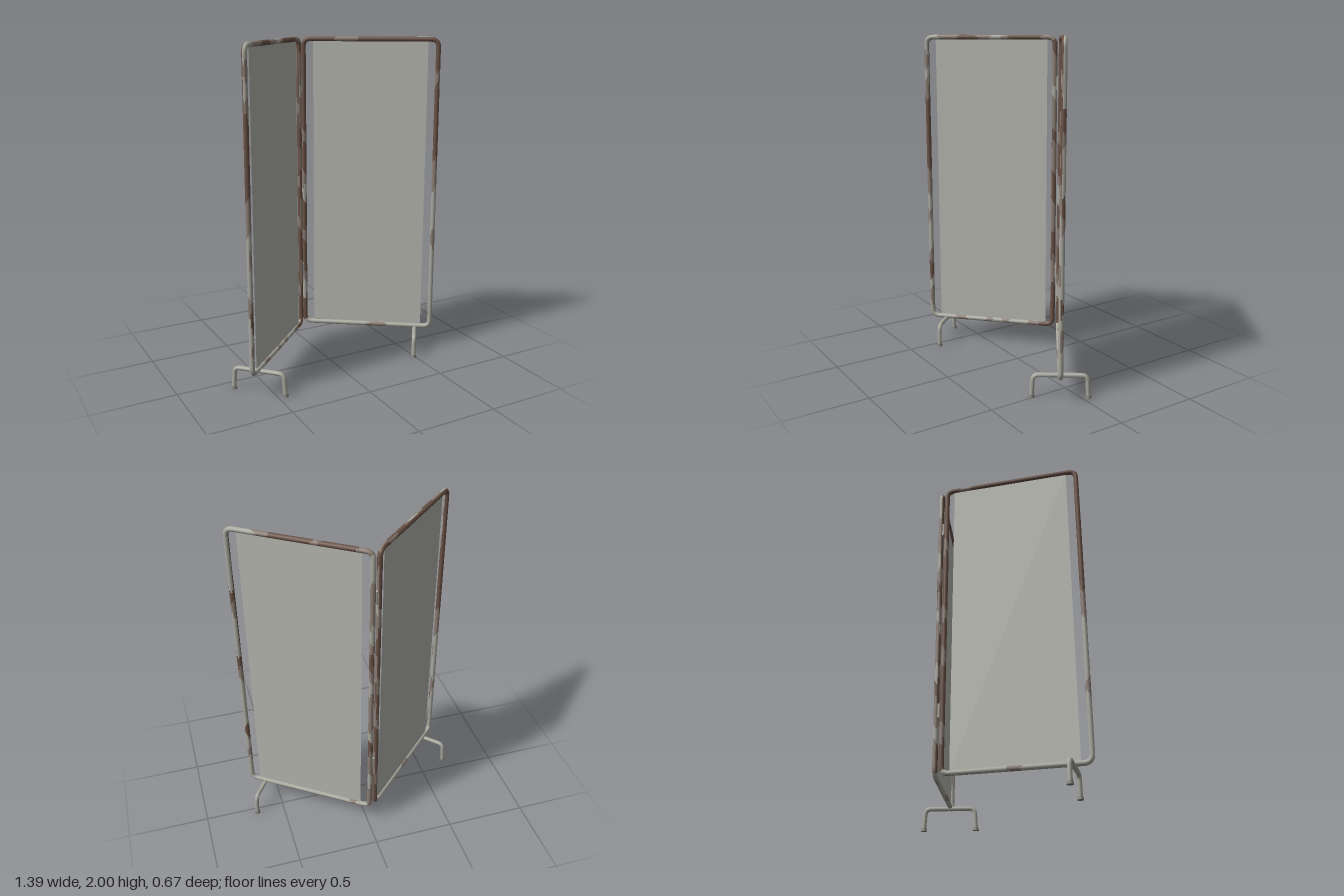
import * as THREE from 'three';

const mat = (name, color, side = THREE.FrontSide) => {
  const m = new THREE.MeshStandardMaterial({ color, side });
  m.name = name;
  return m;
};
const V = (x, y, z = 0) => new THREE.Vector3(x, y, z);

const WIDTH = 0.818, LOW = 0.15, HIGH = 1.985, TUBE = 0.015;

// Path of straight lines whose inner corners are rounded
function roundedPath(points, r, closed) {
  const path = new THREE.CurvePath();
  const n = points.length;
  const toward = (a, b) => a.clone().add(b.clone().sub(a).setLength(r));
  let last = closed ? toward(points[0], points[1]) : points[0];
  for (let k = 1; k <= (closed ? n : n - 2); k++) {
    const p = points[k % n];
    const a = toward(p, points[k - 1]), b = toward(p, points[(k + 1) % n]);
    path.add(new THREE.LineCurve3(last, a));
    path.add(new THREE.QuadraticBezierCurve3(a, p, b));
    last = b;
  }
  if (!closed) path.add(new THREE.LineCurve3(last, points[n - 1]));
  path.arcLengthDivisions = 800;
  return path;
}

// Paint wear along each side, hinge to outer edge or bottom to top:
// 0 = bare metal, 1 = worn patch, 2 = rust
const leftWear = {
  front: {
    top: '22222111222222222222', outer: '00000010001122222122',
    inner: '22012212201221222222', bottom: '00000000001110000000',
  },
  back: {
    top: '11222221222222110000', outer: '00102000012000120000',
    inner: '11011201110121011100', bottom: '00100000000000000000',
  },
};
const rightWear = {
  front: {
    top: '11222221001122211100', outer: '01021001011222221010',
    inner: '22211221122112110112', bottom: '22110001001000110000',
  },
  back: {
    top: '22112222222222222222', outer: '00001000011222222222',
    inner: '22122221221222212222', bottom: '00000000011000000000',
  },
};

function wearLevel(wear, p, angle) {
  const fx = p.x / WIDTH, fy = (p.y - LOW) / (HIGH - LOW);
  let side, f;
  if (p.y > HIGH - 0.02) { side = 'top'; f = fx; }
  else if (p.y < LOW + 0.02) { side = 'bottom'; f = fx; }
  else { side = fx > 0.5 ? 'outer' : 'inner'; f = fy; }
  const ragged = f + 0.012 * Math.sin(angle * 2 + (p.x + p.y) * 27);
  const digits = wear[side];
  return Number(digits[THREE.MathUtils.clamp(Math.floor(ragged * digits.length), 0, digits.length - 1)]);
}

// frontSign tells which local z direction is the front of the panel
function makeFrame(wear, frontSign, materials) {
  const path = roundedPath([V(0, LOW), V(WIDTH, LOW), V(WIDTH, HIGH), V(0, HIGH)], 0.045, true);
  const segments = 360, sides = 10;
  const geo = new THREE.TubeGeometry(path, segments, TUBE, sides, true);
  const normals = geo.attributes.normal;
  const total = segments * sides;
  let start = 0, current = -1;
  for (let q = 0; q <= total; q++) {
    let level = -2;
    if (q < total) {
      const p = path.getPointAt((Math.floor(q / sides) + 0.5) / segments);
      const nz = normals.getZ(geo.index.getX(q * 6)) + normals.getZ(geo.index.getX(q * 6 + 2));
      const face = nz * frontSign > 0 ? wear.front : wear.back;
      level = wearLevel(face, p, (q % sides) / sides * Math.PI * 2);
    }
    if (level !== current) {
      if (current >= 0) geo.addGroup(start * 6, (q - start) * 6, current);
      start = q;
      current = level;
    }
  }
  const mesh = new THREE.Mesh(geo, materials);
  mesh.name = 'tubeFrame';
  return mesh;
}

export function createModel() {
  const metal = mat('paintedMetal', 0xa9a99f);
  const worn = mat('wornPaint', 0x8b7d74);
  const rust = mat('rust', 0x6b5347);
  const cloth = mat('cloth', 0xb9b9b1, THREE.DoubleSide);
  const rubber = mat('footRubber', 0x83837a);

  const model = new THREE.Group();
  model.name = 'foldingScreen';
  const add = (parent, name, geo, material, x = 0, y = 0, z = 0) => {
    const mesh = new THREE.Mesh(geo, material);
    mesh.name = name;
    mesh.position.set(x, y, z);
    parent.add(mesh);
    return mesh;
  };

  // Each panel runs along local x from its hinge tube to its outer tube
  function makePanel(name, x, z, dx, dz, wear, clothStart) {
    const panel = new THREE.Group();
    panel.name = name;
    panel.position.set(x, 0, z);
    panel.rotation.y = Math.atan2(-dz, dx);
    panel.add(makeFrame(wear, Math.sign(dx), [metal, worn, rust]));

    // Stretched cloth with a gap beside each upright
    const clothEnd = WIDTH - 0.06;
    add(panel, 'cloth', new THREE.PlaneGeometry(clothEnd - clothStart, HIGH - LOW), cloth,
      (clothStart + clothEnd) / 2, (LOW + HIGH) / 2, 0);

    // Bent tube leg set across the frame
    const legPath = roundedPath(
      [V(0, 0.005, -0.161), V(0, 0.136, -0.153), V(0, 0.136, 0.153), V(0, 0.005, 0.161)], 0.035, false);
    add(panel, 'leg', new THREE.TubeGeometry(legPath, 80, 0.0135, 10), metal, WIDTH - 0.096);
    for (const s of [-1, 1]) {
      add(panel, 'foot', new THREE.CylinderGeometry(0.0155, 0.019, 0.018, 14), rubber,
        WIDTH - 0.096, 0.009, s * 0.161);
    }
    model.add(panel);
  }
  makePanel('leftPanel', -0.007, -0.32, 0.667, 0.472, leftWear, 0.06);
  makePanel('rightPanel', -0.047, -0.303, -0.59, 0.567, rightWear, 0.047);

  // Hinges joining the two inner tubes
  for (const y of [0.515, 1.71]) {
    const hinge = new THREE.Group();
    hinge.name = 'hinge';
    hinge.position.set(-0.027, y, -0.313);
    hinge.rotation.y = Math.atan2(0.017, 0.04);
    add(hinge, 'hingeBarrel', new THREE.CylinderGeometry(0.01, 0.01, 0.08, 12), metal);
    add(hinge, 'hingeStrap', new THREE.BoxGeometry(0.04, 0.06, 0.008), metal);
    model.add(hinge);
  }
  return model;
}
